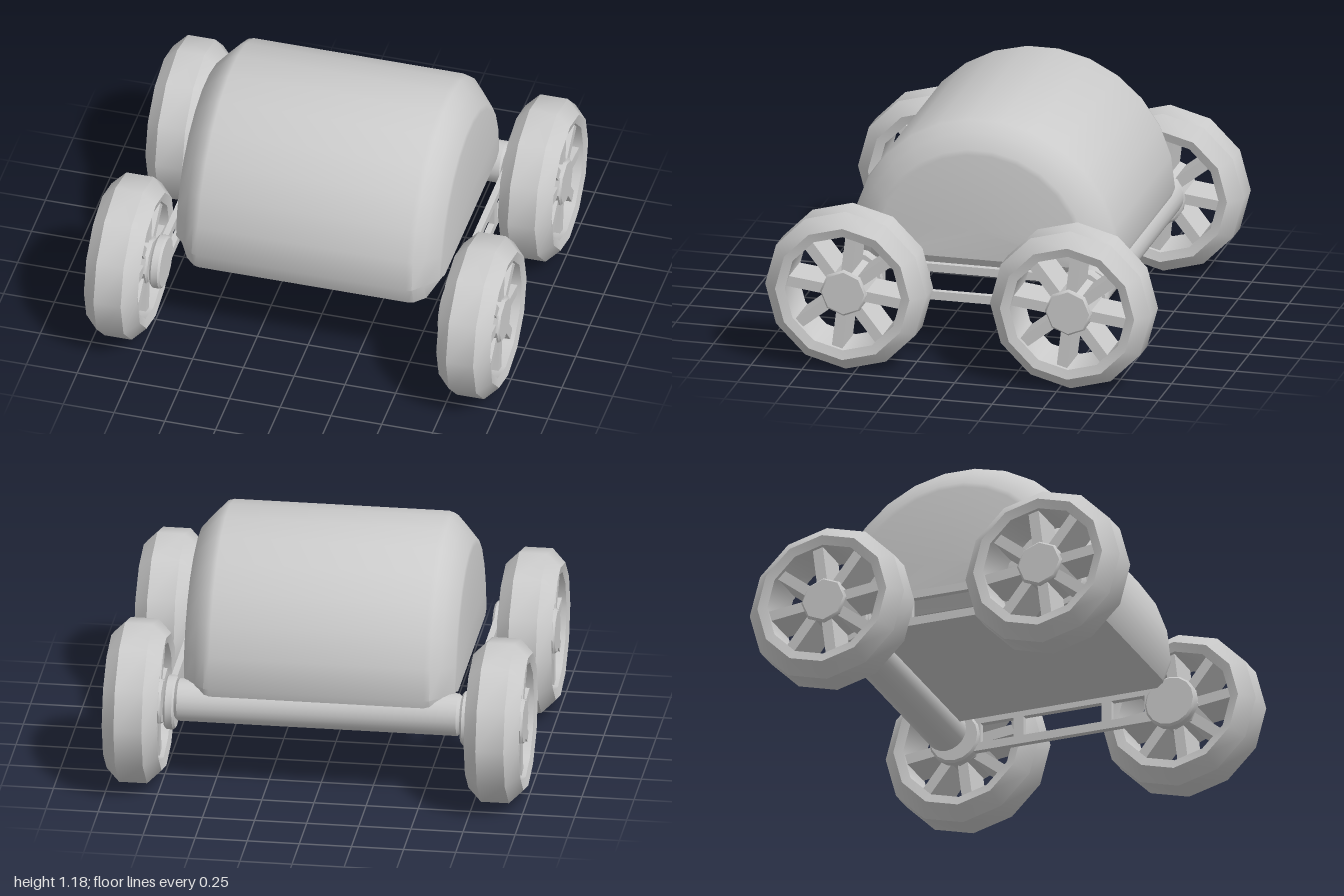
import * as THREE from 'three';
import { toCreasedNormals, mergeGeometries } from 'three/addons/utils/BufferGeometryUtils.js';

const material = new THREE.MeshStandardMaterial({ color: 0xcccccc });

function mesh(name, geometry, x = 0, y = 0, z = 0) {
  const m = new THREE.Mesh(geometry, material);
  m.name = name;
  m.position.set(x, y, z);
  return m;
}

// Turned part along the x axis; points are [radius, offset along the axis]
function turned(points, sides, crease = 0.6) {
  const g = new THREE.LatheGeometry(points.map(p => new THREE.Vector2(...p)), sides);
  g.rotateZ(-Math.PI / 2);
  return toCreasedNormals(g, crease);
}

// Solid disc or rod along x with chamfered rims
function rod(radius, length, chamfer, sides) {
  const h = length / 2;
  return turned([[0, -h], [radius - chamfer, -h], [radius, -h + chamfer],
    [radius, h - chamfer], [radius - chamfer, h], [0, h]], sides);
}

// Domed drum lofted along x: half circle on top, flat floor below
function bodyGeometry() {
  const ends = [[0.655, 0.505, 0.505], [0.65, 0.53, 0.515], [0.59, 0.597, 0.425],
    [0.542, 0.647, 0.425], [0.515, 0.655, 0.425]]; // x, radius, floor height
  const sections = [...ends.map(([x, r, f]) => [-x, r, f]), ...ends.slice().reverse()];
  const arc = 13, cy = 0.525, n = arc + 3;
  const pos = [], index = [];
  for (const [x, r, floor] of sections) {
    for (let j = 0; j <= arc; j++) {
      const a = Math.PI * j / arc;
      pos.push(x, cy + r * Math.sin(a), r * Math.cos(a));
    }
    pos.push(x, floor, -(r - 0.04), x, floor, r - 0.04);
  }
  for (let i = 0; i < sections.length - 1; i++) {
    for (let j = 0; j < n; j++) {
      const a = i * n + j, b = i * n + (j + 1) % n;
      index.push(a, a + n, b + n, a, b + n, b);
    }
  }
  // End caps
  const last = (sections.length - 1) * n, c = pos.length / 3;
  pos.push(-0.655, 0.65, 0, 0.655, 0.65, 0);
  for (let j = 0; j < n; j++) {
    const k = (j + 1) % n;
    index.push(c, j, k, c + 1, last + k, last + j);
  }
  const g = new THREE.BufferGeometry();
  g.setAttribute('position', new THREE.Float32BufferAttribute(pos, 3));
  g.setIndex(index);
  return toCreasedNormals(g, 0.6);
}

// Wheel centred on its own origin, axle along x
const tyre = turned([[0.285, -0.12], [0.33, -0.132], [0.395, -0.067], [0.395, 0.067],
  [0.33, 0.132], [0.285, 0.12], [0.285, -0.12]], 12, 0.55);
const hub = rod(0.115, 0.235, 0.01, 8);
const spokes = mergeGeometries(Array.from({ length: 8 }, (_, i) =>
  new THREE.BoxGeometry(0.2, 0.2, 0.052).translate(0, 0.19, 0).rotateX(i * Math.PI / 4 - 0.12)));

function wheel(name) {
  const g = new THREE.Group();
  g.name = name;
  g.add(mesh('tyre', tyre), mesh('hub', hub), mesh('spokes', spokes));
  return g;
}

// Side frame: flat bar with three windows, drawn in z and y
function sideFrameGeometry() {
  const rect = (P, z0, z1, y0, y1) => {
    const p = new P();
    p.moveTo(z0, y0); p.lineTo(z1, y0); p.lineTo(z1, y1); p.lineTo(z0, y1); p.closePath();
    return p;
  };
  const shape = rect(THREE.Shape, -0.5, 0.5, -0.09, 0.09);
  for (const [z0, z1] of [[-0.42, -0.25], [-0.2, 0.2], [0.25, 0.42]]) {
    shape.holes.push(rect(THREE.Path, z0, z1, -0.048, 0.05));
  }
  return new THREE.ExtrudeGeometry(shape, { depth: 0.03, bevelEnabled: false })
    .translate(0, 0, -0.015).rotateY(Math.PI / 2);
}

export function createModel() {
  const model = new THREE.Group();
  model.name = 'cart';
  model.add(mesh('body', bodyGeometry(), 0, 0, -0.03));
  model.add(mesh('rearAxle', rod(0.102, 1.37, 0.015, 20), 0, 0.425, -0.585));

  const frame = sideFrameGeometry();
  const cap = rod(0.13, 0.052, 0.01, 16);
  for (const [side, s] of [['left', 1], ['right', -1]]) {
    model.add(mesh(side + 'SideFrame', frame, s * 0.711, 0.4, 0));
    for (const [end, z] of [['Front', 0.552], ['Rear', -0.552]]) {
      const w = wheel(side + end + 'Wheel');
      w.position.set(s * 0.868, 0.395, z);
      model.add(w, mesh(side + end + 'HubCap', cap, s * 0.711, 0.395, z));
    }
  }
  return model;
}
